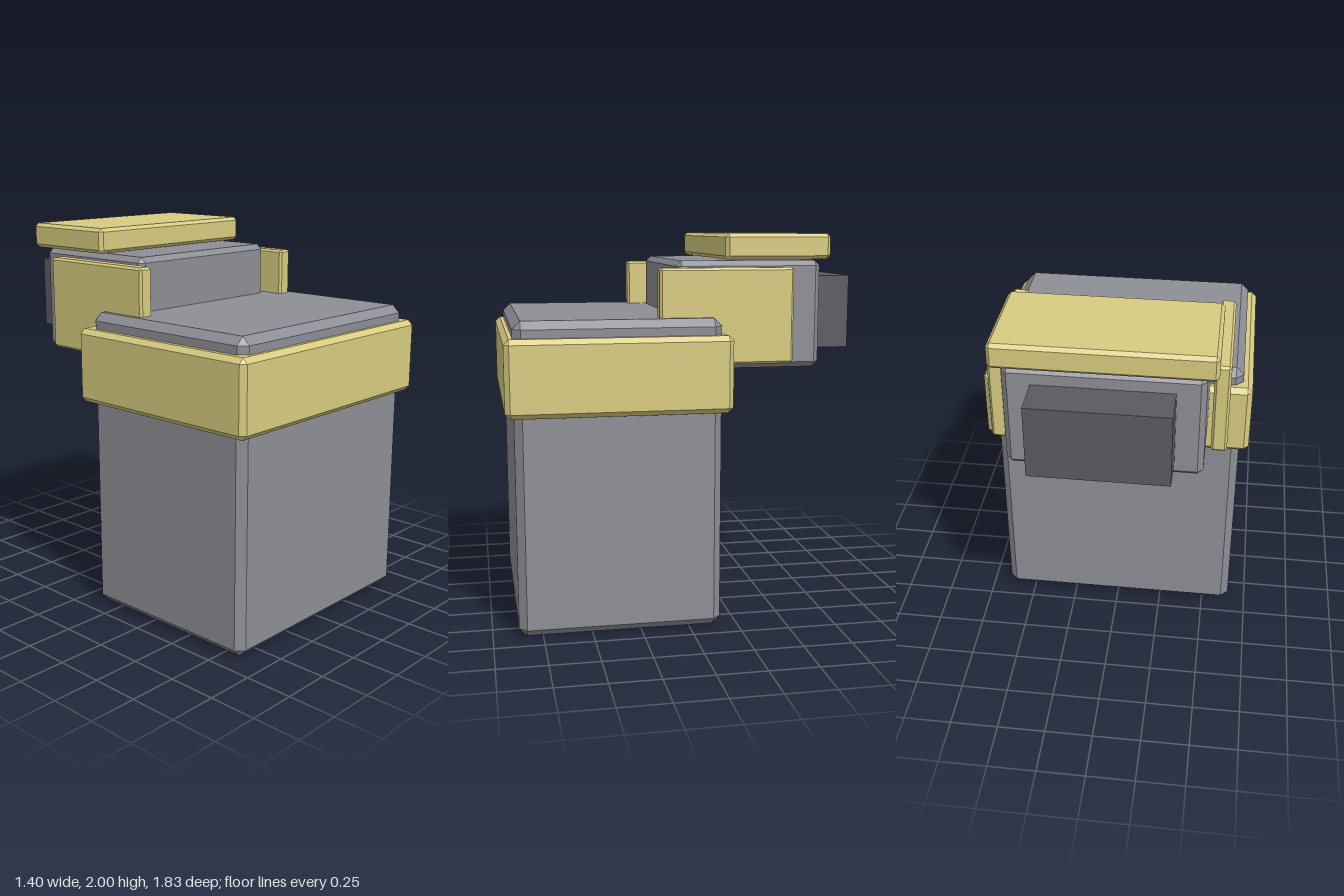
import * as THREE from 'three';
import { ConvexGeometry } from 'three/addons/geometries/ConvexGeometry.js';

// Box with 45 degree chamfers on every edge and clipped corners.
function chamferedBox(w, h, d, c) {
  const points = [];
  for (const x of [-w / 2, w / 2]) {
    for (const y of [-h / 2, h / 2]) {
      for (const z of [-d / 2, d / 2]) {
        const ix = x - Math.sign(x) * c;
        const iy = y - Math.sign(y) * c;
        const iz = z - Math.sign(z) * c;
        points.push(
          new THREE.Vector3(x, iy, iz),
          new THREE.Vector3(ix, y, iz),
          new THREE.Vector3(ix, iy, z)
        );
      }
    }
  }
  return new ConvexGeometry(points);
}

export function createModel() {
  const model = new THREE.Group();
  const paint = (color) => new THREE.MeshStandardMaterial({ color, flatShading: true });
  const grey = paint(0x8e8f96);
  const yellow = paint(0xd8cc80);
  const dark = paint(0x5c5a61);
  const light = paint(0xdcd8d8);

  // Each range is [min, max]; a chamfer of 0 gives a plain box.
  function block(name, material, [x0, x1], [y0, y1], [z0, z1], chamfer = 0) {
    const size = [x1 - x0, y1 - y0, z1 - z0];
    const geometry = chamfer ? chamferedBox(...size, chamfer) : new THREE.BoxGeometry(...size);
    const mesh = new THREE.Mesh(geometry, material);
    mesh.name = name;
    mesh.position.set((x0 + x1) / 2, (y0 + y1) / 2, (z0 + z1) / 2);
    model.add(mesh);
  }

  // Main body and the band around its upper part
  block('body', grey, [-0.652, 0.652], [0, 1.588], [-0.165, 0.87], 0.04);
  block('band', yellow, [-0.702, 0.702], [1.12, 1.506], [-0.212, 0.915], 0.026);

  // Rear housing with its top plate and rear block
  block('rearHousing', grey, [-0.482, 0.482], [1.315, 1.865], [-0.715, 0.04], 0.028);
  block('topPlate', yellow, [-0.535, 0.535], [1.87, 2], [-0.75, -0.202], 0.018);
  block('rearBlock', dark, [-0.342, 0.342], [1.4, 1.78], [-0.916, -0.7]);

  // Mirrored side plates
  block('leftPlate', yellow, [0.508, 0.588], [1.35, 1.833], [-0.543, 0.143], 0.012);
  block('rightPlate', yellow, [-0.588, -0.508], [1.35, 1.833], [-0.543, 0.143], 0.012);

  // Small strip under the rear housing
  block('lowerStrip', light, [-0.31, 0.31], [1.22, 1.34], [-0.238, -0.19]);

  return model;
}
